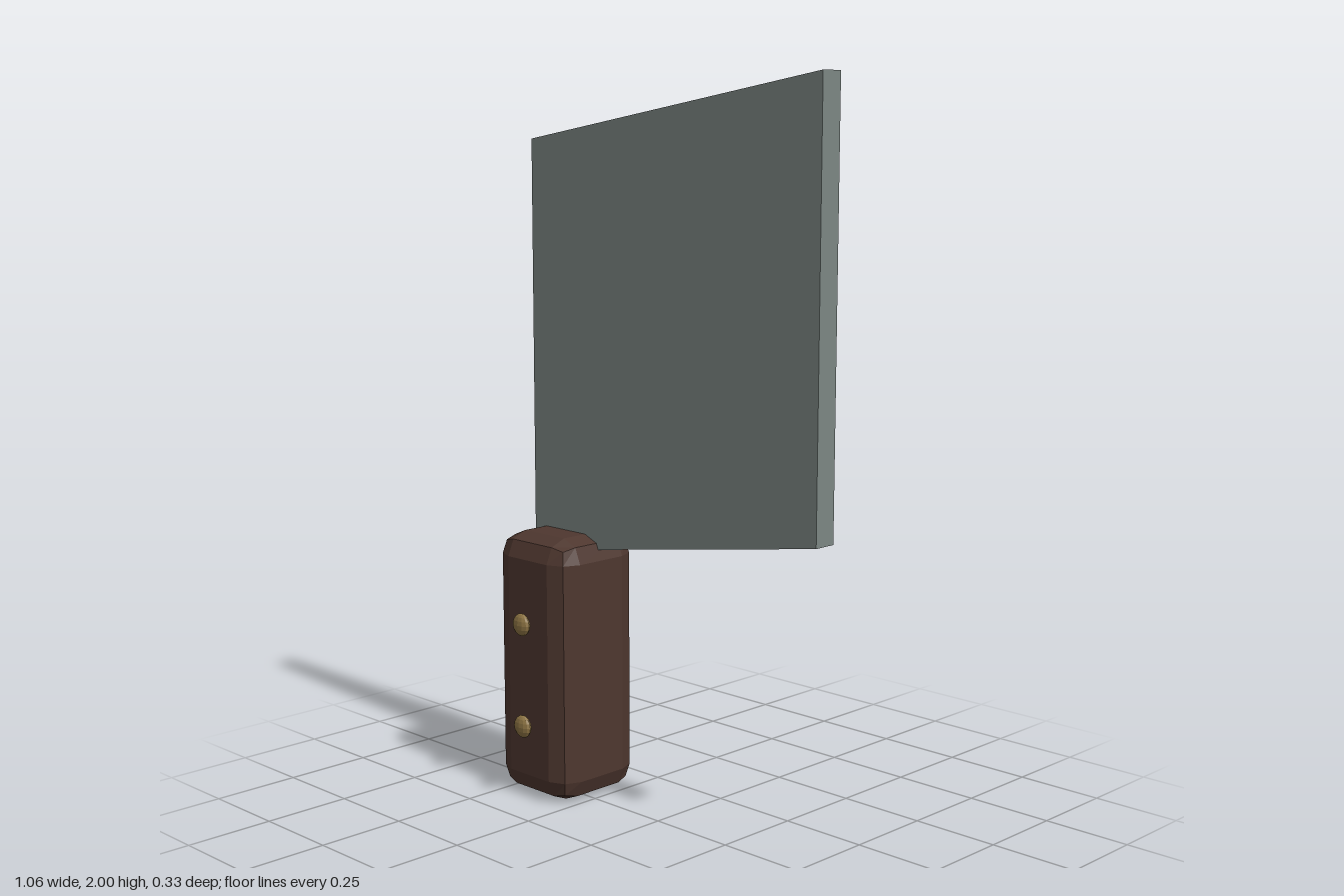
import * as THREE from 'three';
import { RoundedBoxGeometry } from 'three/addons/geometries/RoundedBoxGeometry.js';

const material = (name, color) => {
  const m = new THREE.MeshStandardMaterial({ color, flatShading: true });
  m.name = name;
  return m;
};

export function createModel() {
  const model = new THREE.Group();
  model.name = 'cleaver';
  const steel = material('steel', 0x7c8683);
  const wood = material('darkWood', 0x4e372f);
  const brass = material('brass', 0x8c7343);

  const add = (name, geometry, mat, x, y, z) => {
    const mesh = new THREE.Mesh(geometry, mat);
    mesh.name = name;
    mesh.position.set(x, y, z);
    model.add(mesh);
    return mesh;
  };

  // Slanted blade slab, its lower left corner sunk into the handle
  const outline = new THREE.Shape([
    new THREE.Vector2(-0.513, 0.672),
    new THREE.Vector2(0.53, 0.84),
    new THREE.Vector2(0.53, 2),
    new THREE.Vector2(-0.513, 1.833),
  ]);
  const blade = new THREE.ExtrudeGeometry(outline, { depth: 0.066, bevelEnabled: false });
  add('blade', blade, steel, 0, 0, -0.087);

  // Chunky handle with two-step rounded edges
  add('handle', new RoundedBoxGeometry(0.289, 0.75, 0.289, 1, 0.065), wood, -0.387, 0.375, -0.0215);

  // Flattened rivets in front of the handle
  for (const [name, y] of [['upperRivet', 0.507], ['lowerRivet', 0.214]]) {
    add(name, new THREE.SphereGeometry(0.032, 12, 8), brass, -0.387, y, 0.147).scale.z = 0.5;
  }
  return model;
}
